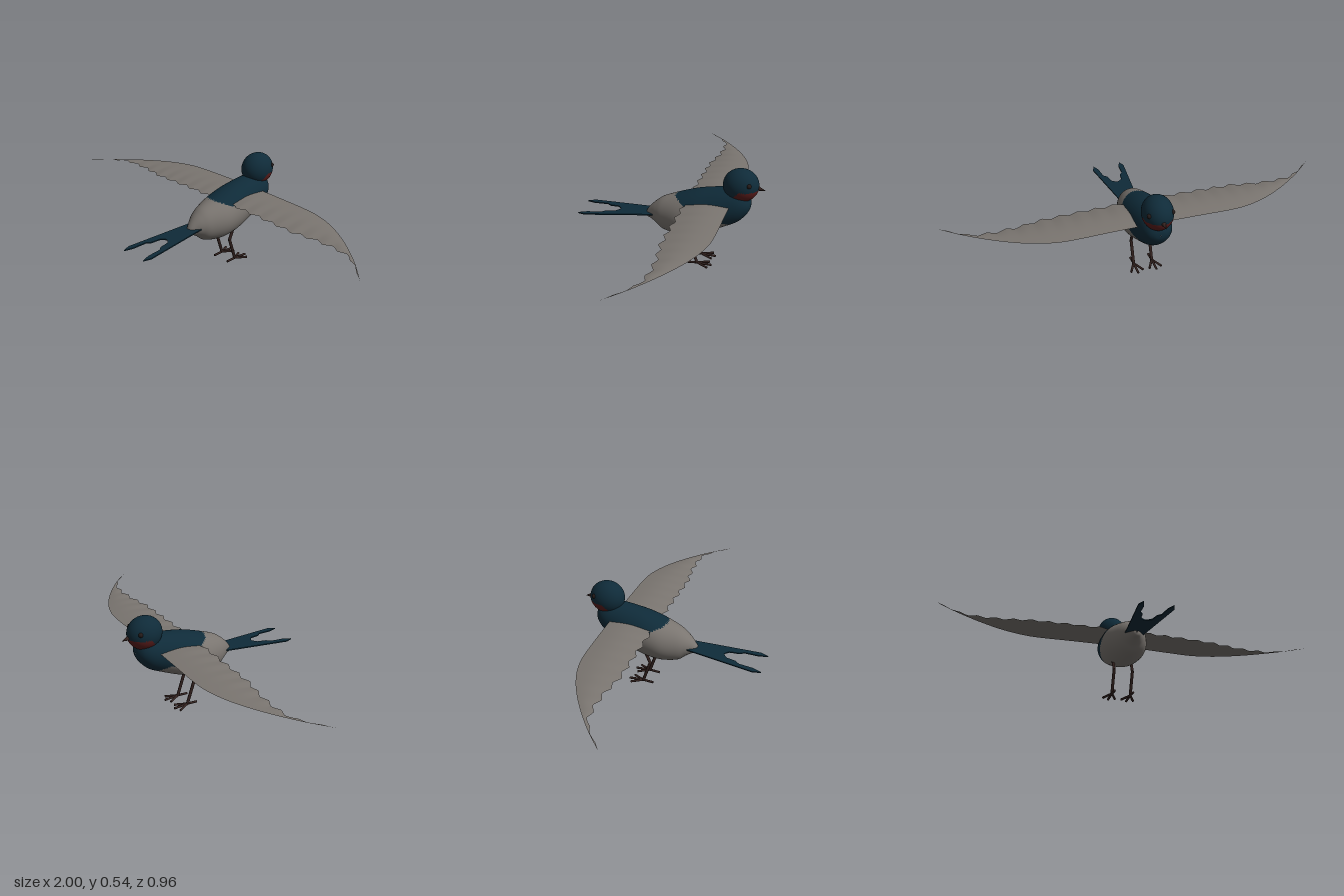
import * as THREE from 'three';

const mat = (name, color) => {
  const m = new THREE.MeshStandardMaterial({ color });
  m.name = name;
  return m;
};

// Skins closed rings; pick(x, y, z) chooses the material index of each face.
function loft(rings, pick = () => 0) {
  const n = rings[0].length;
  const pos = rings.flat();
  const faces = [[], []];
  const add = (...t) => {
    const c = [0, 1, 2].map((k) => (pos[t[0]][k] + pos[t[1]][k] + pos[t[2]][k]) / 3);
    faces[pick(...c)].push(...t);
  };
  for (let i = 0; i < rings.length - 1; i++) {
    for (let j = 0; j < n; j++) {
      const a = i * n + j, b = i * n + (j + 1) % n;
      add(a, a + n, b);
      add(b, a + n, b + n);
    }
  }
  const g = new THREE.BufferGeometry();
  g.setAttribute('position', new THREE.Float32BufferAttribute(pos.flat(), 3));
  g.setIndex(faces.flat());
  g.addGroup(0, faces[0].length, 0);
  g.addGroup(faces[0].length, faces[1].length, 1);
  g.computeVertexNormals();
  return g;
}

// Elliptical ring across the z axis
const ellipse = (z, cy, rx, ry, n = 64) => Array.from({ length: n }, (_, j) => {
  const a = (j / n) * Math.PI * 2;
  return [rx * Math.cos(a), cy + ry * Math.sin(a), z];
});

// Piecewise linear lookup in a list of [x, value]
function lerpTable(table, x) {
  let i = 0;
  while (i < table.length - 2 && x > table[i + 1][0]) i++;
  const [x0, v0] = table[i], [x1, v1] = table[i + 1];
  return v0 + (v1 - v0) * (x - x0) / (x1 - x0);
}

export function createModel() {
  const root = new THREE.Group();
  const pale = mat('paleGrey', 0x7a7570);
  const blue = mat('darkBlue', 0x0f2b39);
  const red = mat('rustRed', 0x5a1c1b);
  const brown = mat('darkBrown', 0x33221f);
  const black = mat('eyeBrown', 0x241a18);

  const add = (name, geometry, material, parent = root) => {
    const m = new THREE.Mesh(geometry, material);
    m.name = name;
    parent.add(m);
    return m;
  };
  const rod = (name, a, b, r, parent) => {
    const p = new THREE.Vector3(...a), d = new THREE.Vector3(...b).sub(p);
    const m = add(name, new THREE.CylinderGeometry(r, r, d.length(), 8), brown, parent);
    m.position.copy(p).addScaledVector(d, 0.5);
    m.quaternion.setFromUnitVectors(new THREE.Vector3(0, 1, 0), d.normalize());
  };

  // Body: z, bottom, top, half width from rump to breast
  const profile = [
    [0.13, 0.238, 0.242, 0.002], [0.122, 0.222, 0.262, 0.018], [0.1, 0.213, 0.29, 0.034],
    [0.07, 0.195, 0.318, 0.056], [0.03, 0.166, 0.345, 0.078], [-0.05, 0.154, 0.375, 0.105],
    [-0.13, 0.162, 0.402, 0.109], [-0.2, 0.184, 0.418, 0.102], [-0.28, 0.22, 0.43, 0.092],
    [-0.35, 0.256, 0.432, 0.08], [-0.39, 0.295, 0.415, 0.06], [-0.41, 0.328, 0.382, 0.032],
    [-0.415, 0.353, 0.357, 0.002],
  ];
  const spline = (f) => new THREE.CatmullRomCurve3(
    profile.map((p) => new THREE.Vector3(...f(p))), false, 'catmullrom');
  const heights = spline((p) => [p[0], p[1], p[2]]);
  const widths = spline((p) => [p[0], p[3], 0]);
  const bodyRings = [];
  for (let i = 0; i <= 84; i++) {
    const h = heights.getPoint(i / 84), w = widths.getPoint(i / 84).y;
    bodyRings.push(ellipse(h.x, (h.y + h.z) / 2, Math.max(w, 0.001), (h.z - h.y) / 2));
  }
  add('body', loft(bodyRings, (x, y, z) => (y > 0.38 + 0.4 * z ? 1 : 0)), [pale, blue]);

  // Head with coloured throat
  const headRings = [];
  for (let i = 0; i <= 48; i++) {
    const a = (i / 48) * Math.PI, s = Math.max(Math.sin(a), 0.001);
    headRings.push(ellipse(-0.361 + 0.09 * Math.cos(a), 0.454, 0.076 * s, 0.085 * s));
  }
  add('head', loft(headRings, (x, y, z) => (y < 0.441 && z < -0.345 - (y - 0.42) * 0.8 ? 1 : 0)), [blue, red]);

  // Beak
  const beak = add('beak', new THREE.ConeGeometry(0.015, 0.05, 16), brown);
  beak.position.set(0, 0.443, -0.46);
  beak.rotation.x = -Math.PI / 2 - 0.22;

  // Wings: leading and trailing edges as [x, z]
  const lead = new THREE.SplineCurve([
    [0.04, -0.32], [0.2, -0.32], [0.4, -0.318], [0.5, -0.303], [0.6, -0.267],
    [0.7, -0.213], [0.8, -0.145], [0.9, -0.065], [1, 0.03],
  ].map((p) => new THREE.Vector2(...p))).getPoints(64).map((p) => [p.x, p.y]);
  const trail = [[0.04, -0.08], [0.5, -0.08], [0.62, -0.1], [0.74, -0.105],
    [0.84, -0.09], [0.92, -0.035], [1, 0.03]];
  for (const side of [1, -1]) {
    const rings = [];
    for (let i = 0; i <= 100; i++) {
      const x = 0.04 + 0.96 * i / 100;
      const zl = lerpTable(lead, x);
      const saw = Math.abs(((x / 0.09) % 1) * 2 - 1) * 0.022 * Math.min(1, (1 - x) * 6);
      const zt = Math.max(zl, lerpTable(trail, x) - saw);
      const chord = (zt - zl) / 0.24;
      const ring = [];
      for (const face of [1, -1]) {
        for (let k = 0; k <= 8; k++) {
          const u = face > 0 ? 1 - k / 8 : k / 8;
          const arch = Math.sin(Math.PI * u);
          const y = 0.36 - 0.038 * x * x + chord * (0.009 * arch - 0.012 * u) + face * 0.004 * arch * chord;
          ring.push([side * x, y, zl + (zt - zl) * u]);
        }
      }
      rings.push(side > 0 ? ring : ring.reverse());
    }
    add(side > 0 ? 'leftWing' : 'rightWing', loft(rings), [pale, pale]);
  }

  // Forked tail
  const half = [[0.045, 0.06], [0.088, 0.44], [0.074, 0.48], [0.058, 0.435], [0.053, 0.36],
    [0.036, 0.34], [0.028, 0.29], [0.012, 0.275]];
  const outline = [...half, [0, 0.268], ...half.map(([x, z]) => [-x, z]).reverse()];
  const tail = add('tail', new THREE.ExtrudeGeometry(
    new THREE.Shape(outline.map((p) => new THREE.Vector2(...p))),
    { depth: 0.006, bevelEnabled: false }), blue);
  tail.rotation.x = Math.PI / 2 + 0.068;
  tail.position.set(0, 0.261, 0);

  // Eyes, legs and feet
  for (const side of [1, -1]) {
    const word = side > 0 ? 'left' : 'right';
    const eye = add(word + 'Eye', new THREE.SphereGeometry(0.012, 16, 12), black);
    eye.position.set(side * 0.057, 0.476, -0.41);

    const leg = new THREE.Group();
    leg.name = word + 'Leg';
    root.add(leg);
    const x = side * 0.049, foot = [x, 0.012, -0.155];
    rod('thigh', [x, 0.19, -0.14], [x, 0.128, -0.114], 0.008, leg);
    rod('shank', [x, 0.134, -0.114], foot, 0.008, leg);
    for (const spread of [-0.032, 0, 0.032]) {
      rod('frontToe', foot, [x + spread, 0.008, spread ? -0.215 : -0.232], 0.006, leg);
    }
    rod('backToe', foot, [x, 0.008, -0.1], 0.006, leg);
  }
  return root;
}
